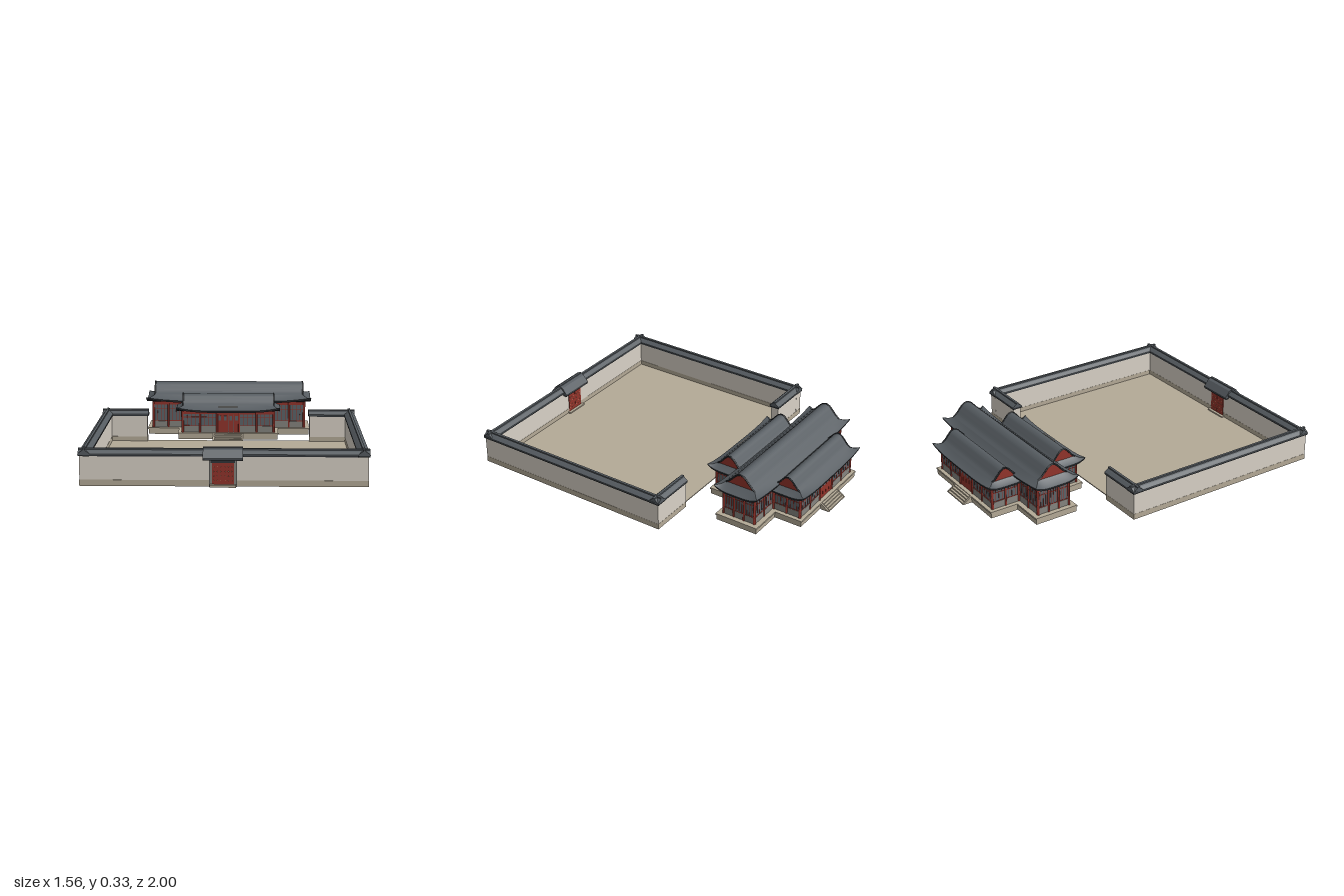
import * as THREE from 'three';

const material = (name, color, side = THREE.FrontSide) => {
  const m = new THREE.MeshStandardMaterial({ color, side });
  m.name = name;
  return m;
};
const plaster = material('pale plaster', 0xd8d1c6);
const stone = material('tan stone', 0xb4aa97);
const tile = material('grey roof tile', 0x565c61, THREE.DoubleSide);
const trim = material('dark trim', 0x2f3337, THREE.DoubleSide);
const red = material('red paint', 0x92342b);
const glass = material('window grey', 0x5b6469);
const brick = material('grey brick', 0x85847f);
const gold = material('pale gold', 0xd9bd92);

function add(parent, name, geometry, mat, x = 0, y = 0, z = 0) {
  const mesh = new THREE.Mesh(geometry, mat);
  mesh.name = name;
  mesh.position.set(x, y, z);
  parent.add(mesh);
  return mesh;
}

// Box whose y is its bottom
const box = (parent, name, mat, w, h, d, x, y, z) =>
  add(parent, name, new THREE.BoxGeometry(w, h, d), mat, x, y + h / 2, z);

function group(parent, name, x = 0, y = 0, z = 0, turn = 0) {
  const g = new THREE.Group();
  g.name = name;
  g.position.set(x, y, z);
  g.rotation.y = turn;
  parent.add(g);
  return g;
}

// Cross-section in x/y, extruded along z and centred
function prism(points, length) {
  const shape = new THREE.Shape(points.map(p => new THREE.Vector2(p[0], p[1])));
  return new THREE.ExtrudeGeometry(shape, { depth: length, bevelEnabled: false }).translate(0, 0, -length / 2);
}

// Small two-slope roof with eave slab and ridge, running along z
function ridgeRoof(parent, half, eave, top, length) {
  const lip = eave + 0.011;
  box(parent, 'eaveSlab', trim, half * 1.9, 0.011, length, 0, eave, 0);
  add(parent, 'roofSlopes', prism([[-half, lip - 0.003], [half, lip - 0.003], [half, lip + 0.002],
    [half * 0.45, top - 0.013], [0, top - 0.004], [-half * 0.45, top - 0.013], [-half, lip + 0.002]], length), tile);
  box(parent, 'ridge', tile, 0.014, 0.01, length, 0, top - 0.01, 0);
}

// Enclosure wall running along local z
function wallRun(parent, name, length, x, z, turn) {
  const g = group(parent, name, x, 0, z, turn);
  box(g, 'plaster', plaster, 0.05, 0.135, length - 0.015, 0, 0.033, 0);
  box(g, 'plinth', stone, 0.052, 0.034, length - 0.013, 0, 0, 0);
  ridgeRoof(g, 0.0325, 0.163, 0.203, length);
}

// Band between nested rectangles; eave corners curl up by "lift"
function ringBand(rows, n = 20) {
  const pos = [], index = [];
  for (let side = 0; side < 4; side++) {
    const start = pos.length / 3;
    for (const r of rows) for (let i = 0; i <= n; i++) {
      const t = i / n * 2 - 1, y = r.y + r.lift * Math.abs(t) ** 4;
      pos.push(...[[t * r.x, y, r.z], [r.x, y, -t * r.z], [-t * r.x, y, -r.z], [-r.x, y, t * r.z]][side]);
    }
    for (let j = 0; j < rows.length - 1; j++) for (let i = 0; i < n; i++) {
      const a = start + j * (n + 1) + i, c = a + n + 1;
      index.push(a, c, c + 1, a, c + 1, a + 1);
    }
  }
  const g = new THREE.BufferGeometry();
  g.setAttribute('position', new THREE.Float32BufferAttribute(pos, 3));
  g.setIndex(index);
  g.computeVertexNormals();
  return g;
}

// Hip-and-gable roof with a rounded ridge
function hallRoof(parent, r) {
  const g = group(parent, 'roof');
  const rise = r.top - r.base;
  const half = [[1, 0], [0.76, 0.22], [0.5, 0.58], [0.27, 0.87], [0, 1]];
  const all = [...half, ...half.slice(0, 4).reverse().map(p => [-p[0], p[1]])];
  const curve = new THREE.CatmullRomCurve3(all.map(p => new THREE.Vector3(p[0] * r.gz, r.base + p[1] * rise, 0)));
  const profile = curve.getPoints(32).map(p => [p.x, p.y]);
  // Upper roof, with red gable ends and dark edges
  const upper = add(g, 'upperRoof', prism(profile, r.gx * 2), [red, tile]);
  upper.rotation.y = Math.PI / 2;
  for (const s of [-1, 1]) {
    const edge = add(g, 'gableEdge', new THREE.TubeGeometry(curve, 32, 0.005, 5), trim, s * r.gx);
    edge.rotation.y = Math.PI / 2;
  }
  // Lower skirt, fascia and soffit
  const mix = (a, b) => a * 0.5 + b * 0.5;
  add(g, 'skirtRoof', ringBand([
    { x: r.gx, z: r.gz, y: r.base + 0.001, lift: 0 },
    { x: mix(r.gx, r.ex), z: mix(r.gz, r.ez), y: mix(r.base, r.eave) - 0.004, lift: r.lift * 0.35 },
    { x: r.ex, z: r.ez, y: r.eave, lift: r.lift }]), tile);
  add(g, 'fascia', ringBand([
    { x: r.ex, z: r.ez, y: r.eave, lift: r.lift },
    { x: r.ex - 0.003, z: r.ez - 0.003, y: r.eave - 0.012, lift: r.lift }]), trim);
  add(g, 'soffit', ringBand([
    { x: r.ex - 0.003, z: r.ez - 0.003, y: r.eave - 0.012, lift: r.lift },
    { x: r.bx, z: r.bz, y: r.eave - 0.008, lift: 0 }]), trim);
}

// Facade of bays along local x, facing +z; a 'd' bay is a door
function facade(parent, length, y0, y1, bays) {
  const weights = [...bays].map(b => b === 'd' ? 1.3 : 1);
  const unit = length / weights.reduce((a, b) => a + b);
  const beam = y1 - 0.02, sill = y0 + 0.04;
  const column = x => add(parent, 'column', new THREE.CylinderGeometry(0.0065, 0.0065, y1 - y0, 10), red, x, (y0 + y1) / 2, 0.003);
  box(parent, 'beam', red, length, 0.02, 0.008, 0, beam, 0.003);
  let x = -length / 2;
  column(x);
  [...bays].forEach((bay, i) => {
    const w = weights[i] * unit, mid = x + w / 2;
    if (bay === 'd') {
      for (let k = 0; k < 4; k++) {
        const px = x + w * (k + 0.5) / 4;
        box(parent, 'doorLeaf', red, w / 4 - 0.002, beam - y0, 0.006, px, y0, 0.001);
        box(parent, 'doorLattice', glass, w / 4 - 0.018, 0.03, 0.002, px, beam - 0.04, 0.0042);
      }
    } else {
      box(parent, 'brickSill', brick, w, sill - y0, 0.008, mid, y0, 0.001);
      box(parent, 'windowPane', glass, w, beam - sill, 0.004, mid, sill, 0);
      for (let k = 1; k < 4; k++) box(parent, 'mullion', red, 0.003, beam - sill, 0.004, x + w * k / 4, sill, 0.002);
      for (const f of [0, 0.72]) box(parent, 'windowRail', red, w, 0.004, 0.004, mid, sill + f * (beam - sill), 0.002);
    }
    x += w;
    column(x);
  });
}

function hallBody(parent, bx, bz, top, faces) {
  box(parent, 'hallCore', glass, bx * 2 - 0.004, top - 0.04, bz * 2 - 0.004, 0, 0.04, 0);
  for (const [name, x, z, turn, length, bays] of faces)
    facade(group(parent, name, x, 0, z, turn), length, 0.04, top, bays);
}

function platform(parent, hx, hz) {
  box(parent, 'platformBase', stone, hx * 2 - 0.008, 0.03, hz * 2 - 0.008, 0, 0, 0);
  box(parent, 'platformCap', stone, hx * 2, 0.01, hz * 2, 0, 0.03, 0);
}

// Front gate with studded doors on both faces
function buildGate(root) {
  const gate = group(root, 'gate', -0.004, 0, 0.9425);
  box(gate, 'gateBlock', brick, 0.15, 0.15, 0.058, 0, 0, 0);
  box(gate, 'threshold', stone, 0.14, 0.014, 0.1, 0, 0, 0);
  for (const s of [-1, 1]) {
    const face = group(gate, 'doorFace', 0, 0, s * 0.03, s > 0 ? 0 : Math.PI);
    box(face, 'lintel', trim, 0.13, 0.018, 0.006, 0, 0.131, 0);
    for (const side of [-1, 1]) {
      box(face, 'gateDoor', red, 0.058, 0.116, 0.006, side * 0.0295, 0.015, 0.001);
      for (let i = 0; i < 3; i++) for (let j = 0; j < 4; j++)
        add(face, 'doorStud', new THREE.SphereGeometry(0.0022, 6, 4), gold, side * (0.012 + i * 0.018), 0.035 + j * 0.025, 0.004);
    }
  }
  ridgeRoof(group(gate, 'gateRoof', 0, 0, 0, Math.PI / 2), 0.0575, 0.148, 0.213, 0.214);
}

export function createModel() {
  const root = new THREE.Group();
  root.name = 'courtyardHall';

  // Courtyard and enclosure
  box(root, 'courtyardFloor', stone, 1.49, 0.006, 1.212, 0, 0, 0.334);
  wallRun(root, 'frontWall', 1.558, 0, 0.9375, Math.PI / 2);
  for (const s of [-1, 1]) {
    wallRun(root, 'sideWall', 1.275, s * 0.7475, 0.3325, 0);
    wallRun(root, 'backWall', 0.285, s * 0.637, -0.272, Math.PI / 2);
    for (const z of [0.9375, -0.272])
      add(root, 'cornerFinial', new THREE.ConeGeometry(0.012, 0.018, 4), tile, s * 0.7475, 0.205, z);
  }
  buildGate(root);

  // Main hall
  const hall = group(root, 'hall', -0.004, 0, -0.64);
  const main = group(hall, 'mainHall');
  platform(main, 0.515, 0.135);
  const faces = [];
  for (const s of [-1, 1]) {
    faces.push(['endFacade', s * 0.48, 0, s * Math.PI / 2, 0.2, 'www']);
    for (const x of [-1, 1])
      faces.push(['sideBay', x * 0.385, s * 0.1, s > 0 ? 0 : Math.PI, 0.19, 'ww']);
  }
  hallBody(main, 0.48, 0.1, 0.206, faces);
  hallRoof(main, { gx: 0.473, gz: 0.093, ex: 0.526, ez: 0.14, bx: 0.48, bz: 0.1, base: 0.248, eave: 0.213, top: 0.322, lift: 0.024 });

  // Matching front and back wings, with steps
  for (const s of [1, -1]) {
    const wing = group(hall, s > 0 ? 'frontWing' : 'backWing', 0, 0, s * 0.193, s > 0 ? 0 : Math.PI);
    platform(wing, 0.315, 0.112);
    hallBody(wing, 0.285, 0.084, 0.176, [
      ['porchFacade', 0, 0.084, 0, 0.57, 'wwdww'],
      ['wingEnd', 0.285, 0, Math.PI / 2, 0.168, 'ww'],
      ['wingEnd', -0.285, 0, -Math.PI / 2, 0.168, 'ww']]);
    hallRoof(wing, { gx: 0.285, gz: 0.079, ex: 0.326, ez: 0.125, bx: 0.285, bz: 0.084, base: 0.208, eave: 0.182, top: 0.274, lift: 0.022 });
    const steps = group(wing, 'steps');
    for (let i = 0; i < 4; i++) box(steps, 'step', stone, 0.17, 0.009 * (4 - i), 0.0135, 0, 0, 0.118 + i * 0.0135);
    for (const x of [-1, 1]) {
      const cheek = add(steps, 'stepCheek', prism([[-0.166, 0], [-0.11, 0], [-0.11, 0.04]], 0.014), stone, x * 0.088);
      cheek.rotation.y = Math.PI / 2;
    }
  }
  // Blank board above the front eave
  box(hall, 'blankBoard', plaster, 0.12, 0.006, 0.004, 0, 0.199, 0.283);
  return root;
}
